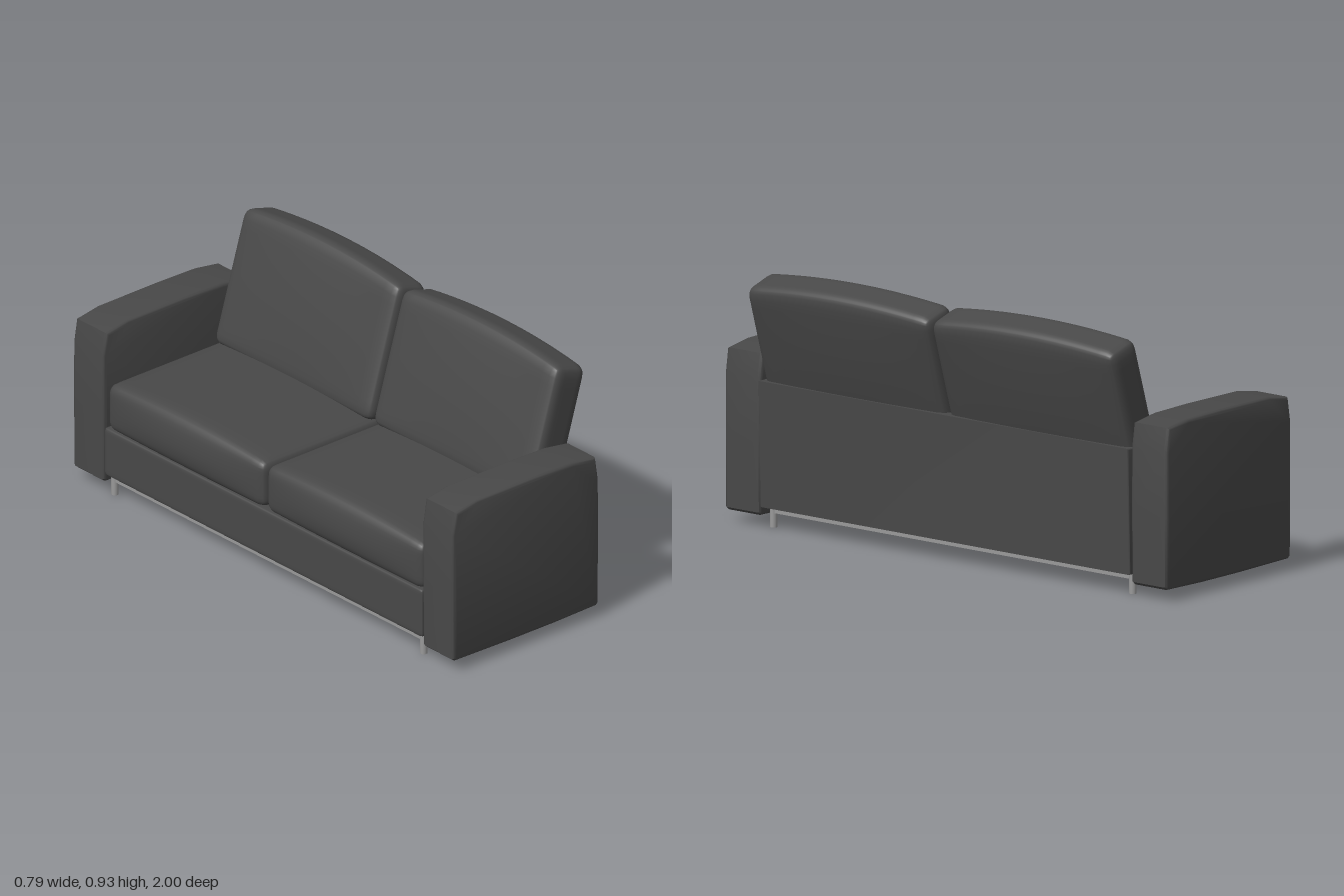
import * as THREE from 'three';
import { mergeVertices, toCreasedNormals } from 'three/addons/utils/BufferGeometryUtils.js';

const fabric = new THREE.MeshStandardMaterial({ color: 0x484848 });
fabric.name = 'charcoal fabric';
const metal = new THREE.MeshStandardMaterial({ color: 0x999999 });
metal.name = 'grey metal';

// Rounded box with swelling: bulge pushes the x faces out, crown lifts the top
function softBox(w, h, d, r, bulge = 0, crown = 0) {
  let geo = new THREE.BoxGeometry(2, 2, 2, 16, 16, 16);
  geo.deleteAttribute('normal');
  geo.deleteAttribute('uv');
  geo = mergeVertices(geo);
  const pos = geo.attributes.position;
  const half = new THREE.Vector3(w / 2, h / 2, d / 2);
  const core = half.clone().subScalar(r);
  const p = new THREE.Vector3(), inner = new THREE.Vector3();
  const ease = (t) => Math.sin(t * Math.PI / 2); // denser rows near the edges
  for (let i = 0; i < pos.count; i++) {
    p.fromBufferAttribute(pos, i);
    p.set(ease(p.x), ease(p.y), ease(p.z)).multiply(half);
    inner.copy(p).clamp(core.clone().negate(), core);
    p.sub(inner).setLength(r).add(inner);
    const u = p.x / half.x, v = p.y / half.y, s = p.z / half.z;
    p.x += bulge * u * (1 - v * v) * (1 - s * s);
    p.y += crown * Math.max(v, 0) * (1 - s * s);
    pos.setXYZ(i, p.x, p.y, p.z);
  }
  geo.computeVertexNormals();
  return geo;
}

// Side profile (x, y) extruded along z with a rounded edge, centred on z = 0
function profileSolid(points, depth, bevel) {
  const shape = new THREE.Shape(points.map(([x, y]) => new THREE.Vector2(x, y)));
  const geo = new THREE.ExtrudeGeometry(shape, {
    depth: depth - 2 * bevel, bevelEnabled: true, bevelThickness: bevel,
    bevelSize: bevel, bevelOffset: -bevel, bevelSegments: 4,
  });
  geo.translate(0, 0, -depth / 2 + bevel);
  return toCreasedNormals(geo, 0.7);
}

export function createModel() {
  const sofa = new THREE.Group();
  sofa.name = 'sofa';
  const add = (name, geo, mat, x = 0, y = 0, z = 0) => {
    const mesh = new THREE.Mesh(geo, mat);
    mesh.name = name;
    mesh.position.set(x, y, z);
    sofa.add(mesh);
    return mesh;
  };

  // Base under the seats
  add('base', softBox(0.665, 0.185, 1.672, 0.012), fabric, -0.042, 0.167, 0);

  // Slightly leaning back panel
  add('backPanel', profileSolid([
    [0.2, 0.075], [0.302, 0.075], [0.314, 0.525], [0.23, 0.525],
  ], 1.672, 0.006), fabric);

  const armGeo = profileSolid([
    [-0.36, 0.042], [-0.1, 0.038], [0.1, 0.038], [0.287, 0.042], [0.298, 0.052],
    [0.3, 0.3], [0.299, 0.53], [0.286, 0.617], [0.18, 0.633], [0, 0.636],
    [-0.26, 0.634], [-0.36, 0.617], [-0.374, 0.53], [-0.375, 0.3], [-0.372, 0.052],
  ], 0.163, 0.014);
  const seatGeo = softBox(0.57, 0.18, 0.828, 0.035, 0.022, 0.022);
  const backGeo = softBox(0.148, 0.5, 0.826, 0.036, 0.014, 0.028);
  const legGeo = new THREE.CylinderGeometry(0.013, 0.013, 0.08, 16);

  for (const side of [1, -1]) {
    const prefix = side > 0 ? 'left' : 'right';
    add(prefix + 'Arm', armGeo, fabric, 0, 0, side * 0.9185);
    add(prefix + 'SeatCushion', seatGeo, fabric, -0.083, 0.338, side * 0.417);
    // Back cushions lean away from the seat
    const back = add(prefix + 'BackCushion', backGeo, fabric, 0.255, 0.648, side * 0.417);
    back.rotation.z = -0.295;
    for (const x of [-0.344, 0.257]) add(prefix + 'Leg', legGeo, metal, x, 0.04, side * 0.812);
  }

  // Rails joining the legs along the front and back
  for (const x of [-0.344, 0.257]) {
    add('legRail', new THREE.BoxGeometry(0.014, 0.03, 1.62), metal, x, 0.066, 0);
  }
  return sofa;
}
